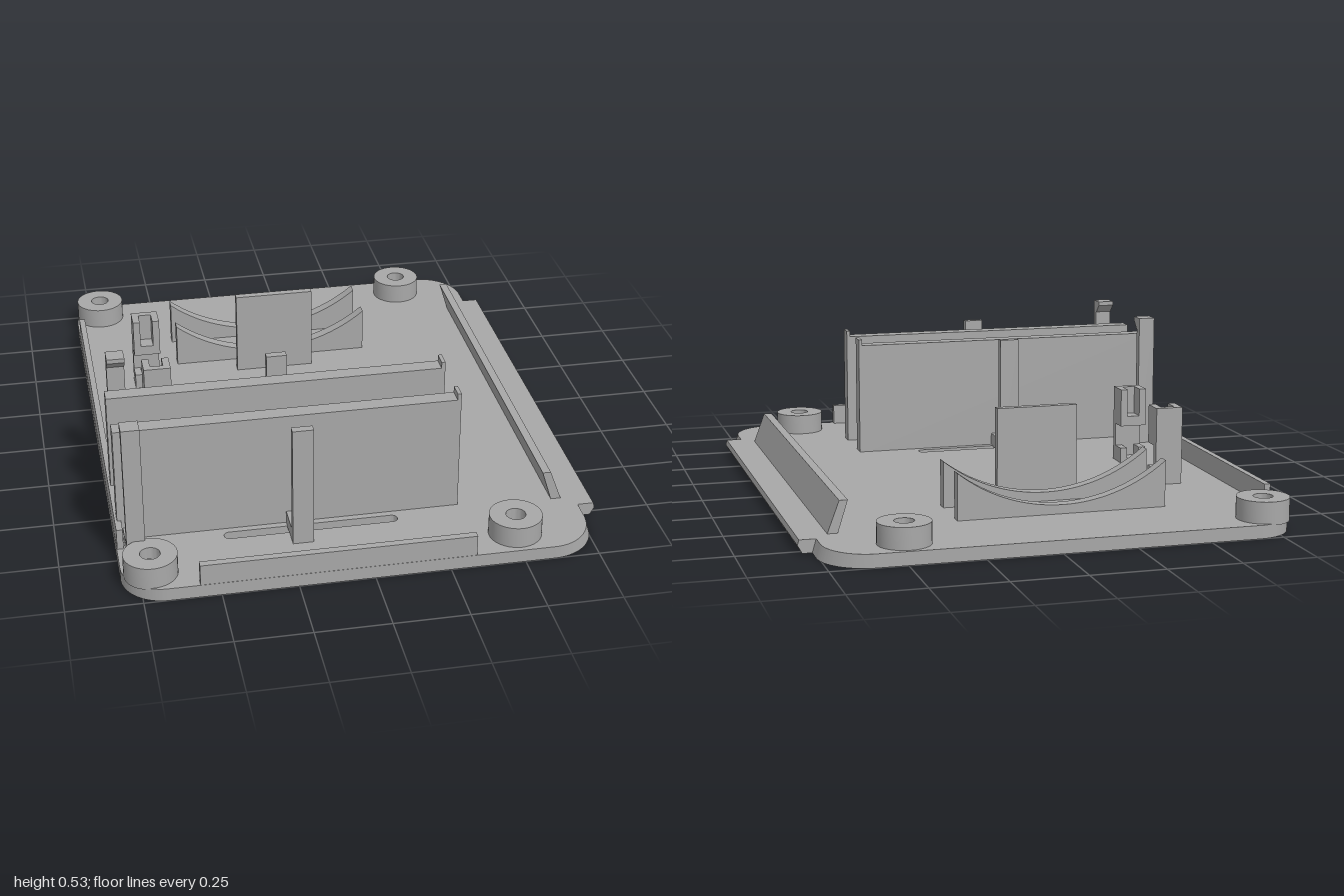
import * as THREE from 'three';
import { toCreasedNormals } from 'three/addons/utils/BufferGeometryUtils.js';

export function createModel() {
  const model = new THREE.Group();
  model.name = 'enclosureBase';
  const plastic = new THREE.MeshStandardMaterial({ color: 0xa8a8a8 });
  plastic.name = 'grey plastic';
  const T = 0.045; // plate thickness
  const S = 0.04; // start of parts, sunk slightly into the plate

  function add(name, geometry) {
    const mesh = new THREE.Mesh(geometry, plastic);
    mesh.name = name;
    model.add(mesh);
    return mesh;
  }
  // Box given by its limits; z limits may come in either order
  function box(name, x0, x1, y0, y1, za, zb) {
    const g = new THREE.BoxGeometry(x1 - x0, y1 - y0, Math.abs(zb - za));
    g.translate((x0 + x1) / 2, (y0 + y1) / 2, (za + zb) / 2);
    return add(name, g);
  }
  // Profile in x and y, extruded along z
  function profile(name, points, z0, z1) {
    const shape = new THREE.Shape(points.map(([x, y]) => new THREE.Vector2(x, y)));
    const g = new THREE.ExtrudeGeometry(shape, { depth: z1 - z0, bevelEnabled: false });
    g.translate(0, 0, z0);
    return add(name, g);
  }

  // Base plate with rounded corners, screw holes and vent slots
  const bosses = [[-0.715, -0.905], [0.49, -0.9], [-0.715, 0.9], [0.49, 0.895]];
  const plate = new THREE.Shape();
  const L = -0.81, R = 0.758, rl = 0.14, rr = 0.16;
  plate.moveTo(L + rl, -1);
  plate.lineTo(R - rr, -1);
  plate.absarc(R - rr, -1 + rr, rr, -Math.PI / 2, 0);
  plate.absarc(R - rr, 1 - rr, rr, 0, Math.PI / 2);
  plate.absarc(L + rl, 1 - rl, rl, Math.PI / 2, Math.PI);
  plate.absarc(L + rl, -1 + rl, rl, Math.PI, Math.PI * 1.5);
  for (const [x, z] of bosses) {
    plate.holes.push(new THREE.Path().absarc(x, z, 0.062, 0, Math.PI * 2, true));
  }
  for (const z of [0.375, 0.51, 0.605, 0.737]) {
    const slot = new THREE.Path();
    slot.absarc(-0.436, z, 0.019, Math.PI / 2, Math.PI * 1.5);
    slot.absarc(0.11, z, 0.019, -Math.PI / 2, Math.PI / 2);
    plate.holes.push(slot);
  }
  const plateGeo = new THREE.ExtrudeGeometry(plate, { depth: T, bevelEnabled: false, curveSegments: 20 });
  plateGeo.rotateX(Math.PI / 2).translate(0, T, 0);
  // Lean the right edge inward at the top
  const pos = plateGeo.attributes.position;
  for (let i = 0; i < pos.count; i++) {
    if (pos.getX(i) > 0.6 && pos.getY(i) > T / 2) pos.setX(i, pos.getX(i) - 0.013 * (pos.getX(i) - 0.6) / 0.158);
  }
  add('basePlate', toCreasedNormals(plateGeo, 0.5));

  // Edge tongue on the right and the slanted rib beside it
  profile('edgeTongue', [[0.735, 0], [0.79, 0], [0.805, 0.027], [0.8, T], [0.735, T]], -0.775, 0.77);
  profile('slantedRib', [[0.667, S], [0.702, S], [0.66, 0.152], [0.632, 0.152]], -0.727, 0.72);

  // Low rim walls
  box('leftRim', -0.808, -0.787, S, 0.118, -0.755, 0.75);
  box('frontRim', -0.568, 0.335, S, 0.118, 0.974, 0.999);

  // Screw bosses with countersunk undersides
  const bossProfile = [[0.088, S], [0.088, 0.118], [0.033, 0.118], [0.033, 0.075], [0.062, 0.06], [0.062, T]]
    .map(([x, y]) => new THREE.Vector2(x, y));
  for (const [x, z] of bosses) {
    const g = toCreasedNormals(new THREE.LatheGeometry(bossProfile, 40), 0.5);
    add('screwBoss', g).position.set(x, 0, z);
  }

  // Compartment walls with a raised lip at the right end
  for (const [z0, z1] of [[0.42, 0.475], [0.64, 0.695]]) {
    box('compartmentWall', -0.8, 0.333, S, 0.452, z0, z1);
    box('wallLip', 0.333, 0.346, S, 0.474, z0, z1);
  }

  // Clips on both sides of the compartment; d points from the post to the wall
  for (const [z, wall, d] of [[0.293, 0.422, 1], [0.825, 0.693, -1]]) {
    box('clipPost', -0.782, -0.722, S, 0.53, z, z + d * 0.028);
    box('clipFoot', -0.782, -0.722, S, 0.088, z + d * 0.02, wall);
    box('middlePost', -0.24, -0.17, S, 0.47, z, z + d * 0.028);
    box('middleFoot', -0.24, -0.17, S, 0.088, z + d * 0.02, wall);
    // Wedge hook, drawn in z and y and turned to run along x
    const hook = new THREE.Shape([[0.02, 0.485], [0.03, 0.485], [0.06, 0.515], [0.06, 0.53], [0.02, 0.53]]
      .map(([a, y]) => new THREE.Vector2(-d * a, y)));
    const g = new THREE.ExtrudeGeometry(hook, { depth: 0.06, bevelEnabled: false });
    g.rotateY(Math.PI / 2).translate(-0.782, 0, z);
    add('clipHook', g);
  }

  // Curved cradle ribs
  const arc = [];
  for (let i = 0; i <= 28; i++) {
    const t = i / 14 - 1;
    arc.push([-0.1 + 0.36 * t, 0.647 - Math.sqrt(0.57 ** 2 - (0.36 * t) ** 2) - 0.001]);
  }
  for (const z of [-0.682, -0.5]) {
    const rib = profile('cradleRib', [[0.26, S], ...arc.slice().reverse(), [-0.46, S]], z, z + 0.041);
    rib.geometry = toCreasedNormals(rib.geometry, 0.4);
  }

  // Upright stop panel
  box('stopPanel', -0.242, 0.043, S, 0.352, -0.397, -0.37);

  // Pair of notched holders facing each other; d points to the open side
  for (const [z, d] of [[-0.382, 1], [0.062, -1]]) {
    const back = z + d * 0.024, open = z + d * 0.08;
    box('holderBack', -0.636, -0.54, S, 0.318, z, back);
    for (const [y0, floor, y1] of [[S, 0.06, 0.1], [0.182, 0.218, 0.318]]) {
      box('holderFloor', -0.636, -0.54, y0, floor, back, open);
      box('holderCheek', -0.636, -0.611, floor, y1, back, open);
      box('holderCheek', -0.565, -0.54, floor, y1, back, open);
    }
  }
  return model;
}
